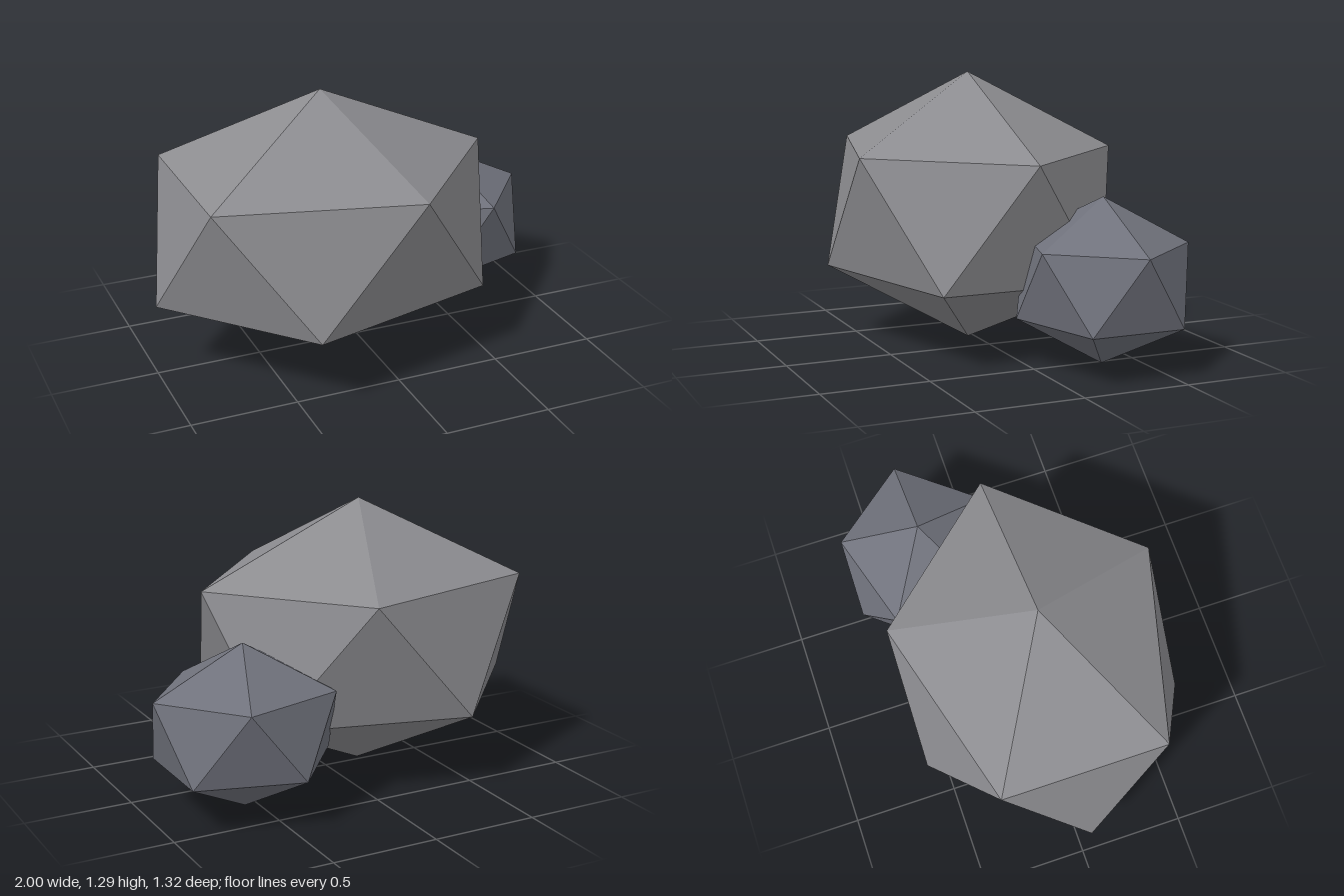
import * as THREE from 'three';
import { ConvexGeometry } from 'three/addons/geometries/ConvexGeometry.js';

// Stretched icosahedron standing on one corner, with an upper corner towards +x
function createRock(name, color, radii, position) {
  const points = [new THREE.Vector3(0, 1, 0), new THREE.Vector3(0, -1, 0)];
  const ringY = 1 / Math.sqrt(5), ringR = 2 / Math.sqrt(5);
  for (let i = 0; i < 5; i++) {
    const a = (i * Math.PI * 2) / 5;
    const p = new THREE.Vector3(ringR * Math.cos(a), ringY, ringR * Math.sin(a));
    points.push(p, p.clone().negate());
  }
  points.forEach((p) => p.multiply(radii));
  const rock = new THREE.Mesh(
    new ConvexGeometry(points),
    new THREE.MeshStandardMaterial({ color, flatShading: true })
  );
  rock.name = name;
  rock.position.copy(position);
  return rock;
}

export function createModel() {
  const group = new THREE.Group();
  group.name = 'rocks';

  // Main boulder
  group.add(createRock('largeRock', 0x8c8c90,
    new THREE.Vector3(0.905, 0.645, 0.74), new THREE.Vector3(-0.19, 0.65, 0.03)));

  // Smaller stone leaning against its back left side
  group.add(createRock('smallRock', 0x70727c,
    new THREE.Vector3(0.477, 0.38, 0.426), new THREE.Vector3(0.573, 0.4, -0.302)));

  return group;
}
